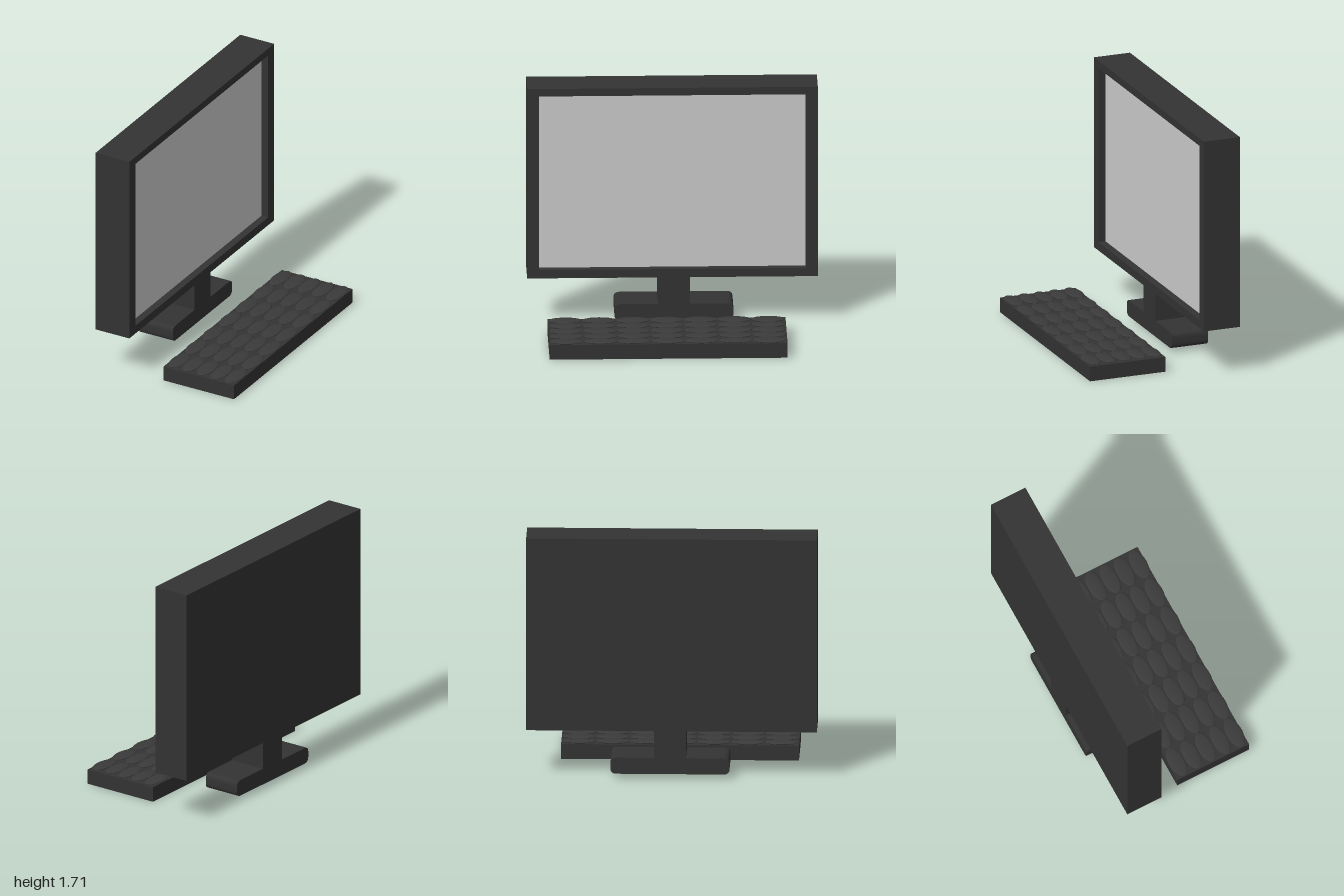
import * as THREE from 'three';

const dark = new THREE.MeshStandardMaterial({ color: 0x333333 });
const keyMat = new THREE.MeshStandardMaterial({ color: 0x3a3a3a });
const grey = new THREE.MeshStandardMaterial({ color: 0xcccccc });

function add(parent, name, geometry, material) {
  const mesh = new THREE.Mesh(geometry, material);
  mesh.name = name;
  parent.add(mesh);
  return mesh;
}

// Box given by its minimum and maximum corners
function box(parent, name, min, max, material) {
  const size = max.map((v, i) => v - min[i]);
  const mesh = add(parent, name, new THREE.BoxGeometry(...size), material);
  mesh.position.set(...max.map((v, i) => (v + min[i]) / 2));
  return mesh;
}

// Extrude a profile drawn in (-z, y) along x, from x0 to x1
function extrudeX(shape, x0, x1) {
  return new THREE.ExtrudeGeometry(shape, { depth: x1 - x0, bevelEnabled: false, curveSegments: 4 })
    .rotateY(Math.PI / 2)
    .translate(x0, 0, 0);
}

function rectPoints(a, b, c, d) {
  return [[a, b], [c, b], [c, d], [a, d]].map((p) => new THREE.Vector2(...p));
}

function roundedRect(a, b, c, d, r) {
  const s = new THREE.Shape();
  s.moveTo(a + r, b);
  s.lineTo(c - r, b);
  s.quadraticCurveTo(c, b, c, b + r);
  s.lineTo(c, d - r);
  s.quadraticCurveTo(c, d, c - r, d);
  s.lineTo(a + r, d);
  s.quadraticCurveTo(a, d, a, d - r);
  s.lineTo(a, b + r);
  s.quadraticCurveTo(a, b, a + r, b);
  return s;
}

export function createModel() {
  const model = new THREE.Group();
  model.name = 'desktopComputer';
  const back = -0.515, front = -0.247, screenX = -0.3;

  // Monitor: casing, raised bezel around a recessed screen
  const monitor = new THREE.Group();
  monitor.name = 'monitor';
  model.add(monitor);
  box(monitor, 'casing', [back, 0.337, -1], [screenX - 0.005, 1.711, 1], dark);
  const frame = new THREE.Shape(rectPoints(-1, 0.337, 1, 1.711));
  frame.holes.push(new THREE.Path(rectPoints(-0.918, 0.397, 0.918, 1.657)));
  add(monitor, 'bezel', extrudeX(frame, screenX - 0.005, front), dark);
  box(monitor, 'screen', [screenX - 0.02, 0.397, -0.918], [screenX, 1.657, 0.918], grey);

  // Stand: neck and a foot with rounded ends
  box(monitor, 'neck', [back, 0.1, -0.12], [front, 0.337, 0.1], dark);
  add(monitor, 'foot', extrudeX(roundedRect(-0.4, 0.03, 0.42, 0.145, 0.04), back, front), dark);

  // Keyboard: slab with a grid of flattened oval keys
  const keyboard = new THREE.Group();
  keyboard.name = 'keyboard';
  model.add(keyboard);
  box(keyboard, 'keyboardBody', [-0.055, 0, -0.772], [0.505, 0.106, 0.865], dark);
  const keyGeometry = new THREE.SphereGeometry(1, 32, 16).scale(0.056, 0.011, 0.117);
  for (let row = 0; row < 7; row++) {
    for (let col = 0; col < 5; col++) {
      const key = add(keyboard, 'key', keyGeometry, keyMat);
      key.position.set(0.003 + col * 0.1125, 0.114, -0.65 + row * 0.2325);
    }
  }
  return model;
}
